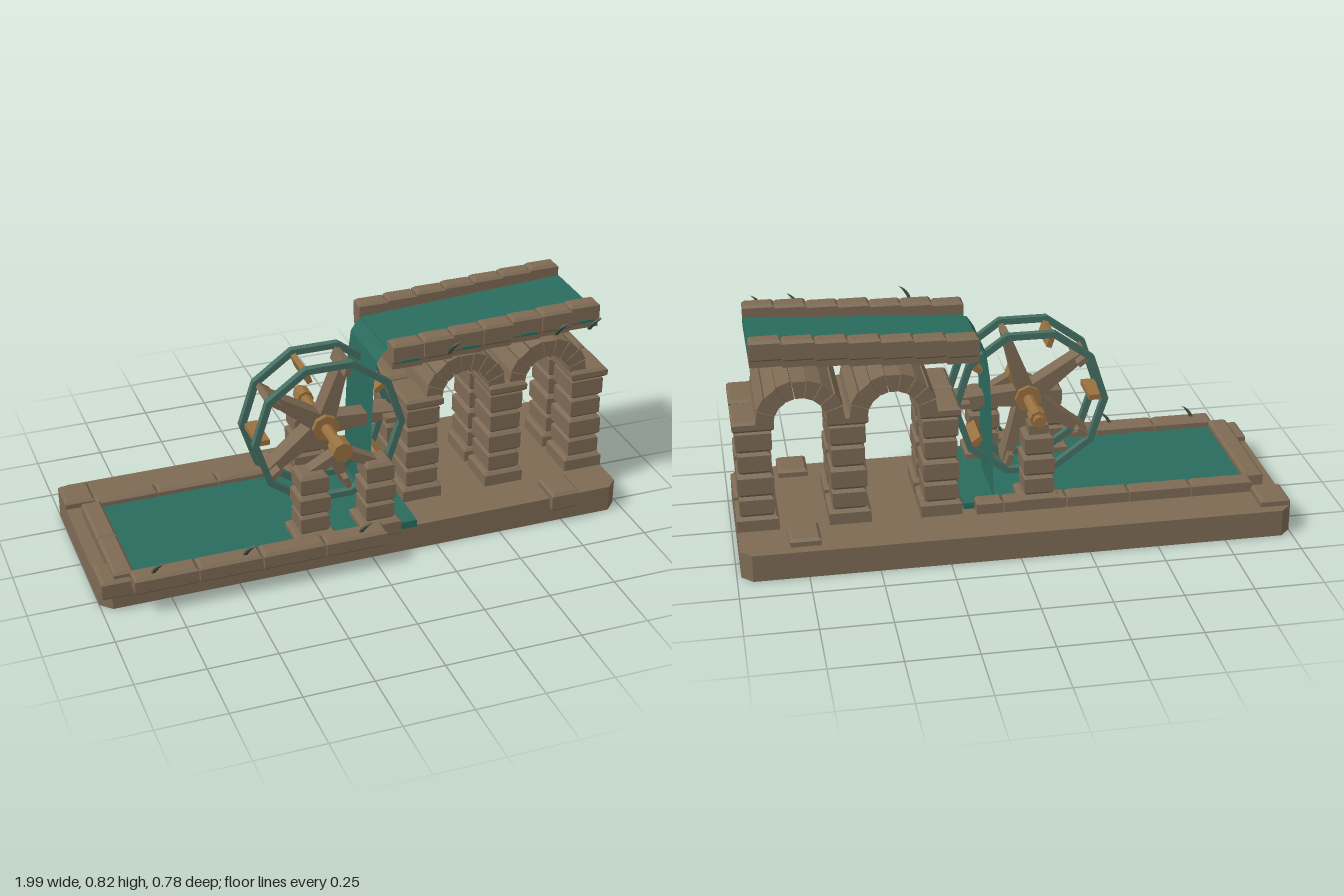
import * as THREE from 'three';

const mat = (name, color) => {
  const m = new THREE.MeshStandardMaterial({ color });
  m.name = name;
  return m;
};

export function createModel() {
  const stone = mat('stone', 0x7d6a54);
  const wood = mat('wood', 0x99713f);
  const water = mat('water', 0x2a6b5e);
  const patina = mat('patina', 0x456f63);
  const reed = mat('reed', 0x3a4a40);
  water.side = reed.side = THREE.DoubleSide;

  const model = new THREE.Group();
  model.name = 'waterMill';
  const group = (name, parent = model) => {
    const g = new THREE.Group();
    g.name = name;
    parent.add(g);
    return g;
  };
  const add = (name, geo, material, parent = model) => {
    const m = new THREE.Mesh(geo, material);
    m.name = name;
    parent.add(m);
    return m;
  };
  const flat = (geo) => {
    const g = geo.index ? geo.toNonIndexed() : geo;
    g.computeVertexNormals();
    return g;
  };
  const box = (name, [x0, x1], [y0, y1], [z0, z1], material, parent) => {
    const m = add(name, new THREE.BoxGeometry(x1 - x0, y1 - y0, z1 - z0), material, parent);
    m.position.set((x0 + x1) / 2, (y0 + y1) / 2, (z0 + z1) / 2);
    return m;
  };
  // Masonry block with chamfered upper and lower edges
  const block = (name, [x0, x1], [y0, y1], [z0, z1], parent, c = 0.01) => {
    const a = (x1 - x0) / 2 - c, b = (z1 - z0) / 2 - c, h = y1 - y0;
    const s = new THREE.Shape([[-a, -b], [a, -b], [a, b], [-a, b]].map((p) => new THREE.Vector2(...p)));
    const geo = new THREE.ExtrudeGeometry(s, {
      depth: h - 2 * c, bevelEnabled: true, bevelSize: c, bevelThickness: c, bevelSegments: 1,
    });
    geo.translate(0, 0, c).rotateX(-Math.PI / 2);
    const m = add(name, geo, stone, parent);
    m.position.set((x0 + x1) / 2, y0, (z0 + z1) / 2);
    return m;
  };
  // Stack of blocks whose widths vary slightly
  const stack = (name, cx, cz, wx, wz, levels, parent) => {
    for (let i = 0; i < levels.length - 1; i++) {
      const d = [0, 0.003, -0.002, 0.002][i % 4];
      block(name, [cx - wx / 2 - d, cx + wx / 2 + d], [levels[i], levels[i + 1]],
        [cz - wz / 2 - d, cz + wz / 2 + d], parent, 0.012);
    }
  };

  // Base slab with cut corners
  const k = 0.04;
  const outline = [[-1 + k, -0.31], [0.985 - k, -0.31], [0.985, -0.31 + k], [0.985, 0.39 - k],
    [0.985 - k, 0.39], [-1 + k, 0.39], [-1, 0.39 - k], [-1, -0.31 + k]];
  const slab = new THREE.ExtrudeGeometry(new THREE.Shape(outline.map((p) => new THREE.Vector2(...p))),
    { depth: 0.1, bevelEnabled: false });
  add('baseSlab', slab.rotateX(-Math.PI / 2), stone);
  for (const [x0, x1] of [[-1, -0.89], [0.7, 0.81]]) {
    for (const z of [[-0.35, -0.22], [0.205, 0.335]]) block('edgeStone', [x0, x1], [0.055, 0.128], z);
  }

  // Pool and its rim
  box('poolWater', [-0.89, 0.17], [0.095, 0.123], [-0.17, 0.312], water);
  const rim = group('poolRim');
  for (let i = 0; i < 4; i++) {
    const x = -0.895 + i * 0.232;
    block('frontRim', [x, x + 0.228], [0.087, 0.152], [0.312, 0.388], rim);
    block('backRim', [x, x + 0.228], [0.087, 0.148], [-0.22, -0.16], rim);
  }
  block('backRim', [0.033, 0.13], [0.087, 0.148], [-0.22, -0.16], rim);
  block('sideRim', [-0.952, -0.88], [0.09, 0.15], [-0.17, 0.075], rim);
  block('sideRim', [-0.952, -0.88], [0.09, 0.15], [0.078, 0.32], rim);

  // Paired piers
  const piers = group('piers');
  for (const cx of [0.255, 0.583, 0.91]) {
    for (const cz of [0.068, -0.127]) {
      block('pierBase', [cx - 0.075, cx + 0.075], [0.065, 0.153], [cz - 0.08, cz + 0.083], piers);
      stack('pierBlock', cx, cz, 0.122, 0.152, [0.153, 0.232, 0.318, 0.402, 0.487], piers);
      block('pierCap', [cx - 0.073, cx + 0.073], [0.485, 0.525], [cz - 0.088, cz + 0.093], piers);
    }
  }

  // Barrel arches made of wedge stones
  const arches = group('arches');
  const wedges = 9;
  for (const cx of [0.42, 0.746]) {
    for (let i = 0; i < wedges; i++) {
      const a = (Math.PI * (i + 0.03)) / wedges, b = (Math.PI * (i + 0.97)) / wedges;
      const ro = i % 2 ? 0.16 : 0.156, ri = 0.093;
      const s = new THREE.Shape([[ri, a], [ro, a], [ro, b], [ri, b]]
        .map(([r, t]) => new THREE.Vector2(r * Math.cos(t), r * Math.sin(t))));
      const m = add('archStone', new THREE.ExtrudeGeometry(s, { depth: 0.363, bevelEnabled: false }), stone, arches);
      m.position.set(cx, 0.512, -0.218);
    }
  }

  // Stepped aqueduct channel
  const channel = group('channel');
  for (let i = 0; i < 7; i++) {
    const x = [0.115 + i * 0.1135, 0.115 + (i + 1) * 0.1135];
    const r = i * 0.0062;
    box('channelFloor', x, [0.685 + r, 0.722 + r], [-0.203, 0.19], stone, channel);
    block('frontParapet', x, [0.705 + r, 0.783 + r], [0.135, 0.2 + (i % 2) * 0.008], channel);
    block('backParapet', x, [0.705 + r, 0.783 + r], [-0.21, -0.147], channel);
    if (i % 2 === 0) box('wetSeam', [x[0] + 0.03, x[1] - 0.02], [0.712 + r, 0.722 + r], [0.2, 0.204], water, channel);
  }
  const stream = box('channelWater', [0.12, 0.912], [0.735, 0.755], [-0.147, 0.135], water, channel);
  stream.rotation.z = 0.052;

  // Falling sheet of water
  const fall = [[0.15, 0.735], [0.105, 0.728], [0.08, 0.69], [0.068, 0.6], [0.06, 0.4], [0.055, 0.12]];
  const sheet = new THREE.PlaneGeometry(0.27, 1, 1, fall.length - 1);
  const pos = sheet.attributes.position;
  for (let i = 0; i < pos.count; i++) {
    const [x, y] = fall[Math.floor(i / 2)];
    pos.setXYZ(i, x, y, i % 2 ? 0.13 : -0.14);
  }
  add('waterfall', flat(sheet), water);

  // Wheel: two ten-sided rings, paddles and tapered spokes
  const wheel = group('wheel');
  wheel.position.set(-0.1, 0.44, 0.047);
  const ring = (r) => Array.from({ length: 10 }, (_, i) =>
    new THREE.Vector2(r * Math.cos((i * Math.PI) / 5), r * Math.sin((i * Math.PI) / 5)));
  for (const z of [-0.092, 0.066]) {
    const s = new THREE.Shape(ring(0.288));
    s.holes.push(new THREE.Path(ring(0.264)));
    add('rim', new THREE.ExtrudeGeometry(s, { depth: 0.026, bevelEnabled: false }), patina, wheel).position.z = z;
  }
  for (let i = 0; i < 10; i++) {
    const t = (i * Math.PI) / 5;
    const p = add('paddle', new THREE.BoxGeometry(0.05, 0.02, 0.15), i % 2 ? wood : stone, wheel);
    p.position.set(0.245 * Math.cos(t), 0.245 * Math.sin(t), 0);
    p.rotation.z = t;
  }
  const spokeShape = new THREE.Shape([[0.02, -0.034], [0.268, -0.014], [0.268, 0.014], [0.02, 0.034]]
    .map((p) => new THREE.Vector2(...p)));
  for (let i = 0; i < 5; i++) {
    const s = add('spoke', new THREE.ExtrudeGeometry(spokeShape, { depth: 0.07, bevelEnabled: false }), stone, wheel);
    s.position.z = -0.035;
    s.rotation.z = (i * Math.PI * 2) / 5;
  }

  // Axle with hub and end bearings
  const axle = group('axle');
  for (const [name, r, z0, z1] of [['shaft', 0.021, -0.21, 0.27], ['hub', 0.05, -0.005, 0.1],
    ['frontBearing', 0.037, 0.215, 0.28], ['backBearing', 0.032, -0.185, -0.13]]) {
    const g = flat(new THREE.CylinderGeometry(r, r, z1 - z0, 8)).rotateX(Math.PI / 2);
    add(name, g, wood, axle).position.set(-0.1, 0.44, (z0 + z1) / 2);
  }

  // Wheel supports: two pillars in front, one behind, with struts to the axle
  const supports = group('wheelSupports');
  for (const [cx, cz] of [[-0.217, 0.26], [0.028, 0.26], [-0.1, -0.153]]) {
    block('supportBase', [cx - 0.075, cx + 0.075], [0.085, 0.152], [cz - 0.068, cz + 0.068], supports);
    stack('supportBlock', cx, cz, 0.108, 0.108, [0.15, 0.228, 0.306, 0.385], supports);
  }
  for (const s of [-1, 1]) {
    const strut = add('strut', new THREE.BoxGeometry(0.13, 0.035, 0.05), stone, supports);
    strut.position.set(-0.098 + s * 0.06, 0.402, 0.25);
    strut.rotation.z = -s * 0.5;
  }
  box('backSaddle', [-0.135, -0.065], [0.38, 0.42], [-0.19, -0.12], stone, supports);

  // Curved reeds
  const reeds = group('reeds');
  const leaf = new THREE.Shape();
  leaf.moveTo(-0.02, -0.022);
  leaf.quadraticCurveTo(-0.012, 0.012, 0.022, 0.024);
  leaf.quadraticCurveTo(0, 0.004, -0.008, -0.022);
  for (const [x, y, z] of [[-0.81, 0.17, 0.362], [-0.48, 0.17, 0.362], [-0.05, 0.17, 0.362],
    [0.31, 0.782, 0.272], [0.72, 0.782, 0.272], [0.85, 0.782, 0.272]]) {
    const m = add('reed', new THREE.ExtrudeGeometry(leaf, { depth: 0.008, bevelEnabled: false }), reed, reeds);
    m.position.set(x, y, z);
    m.rotation.x = 0.35;
  }
  return model;
}
